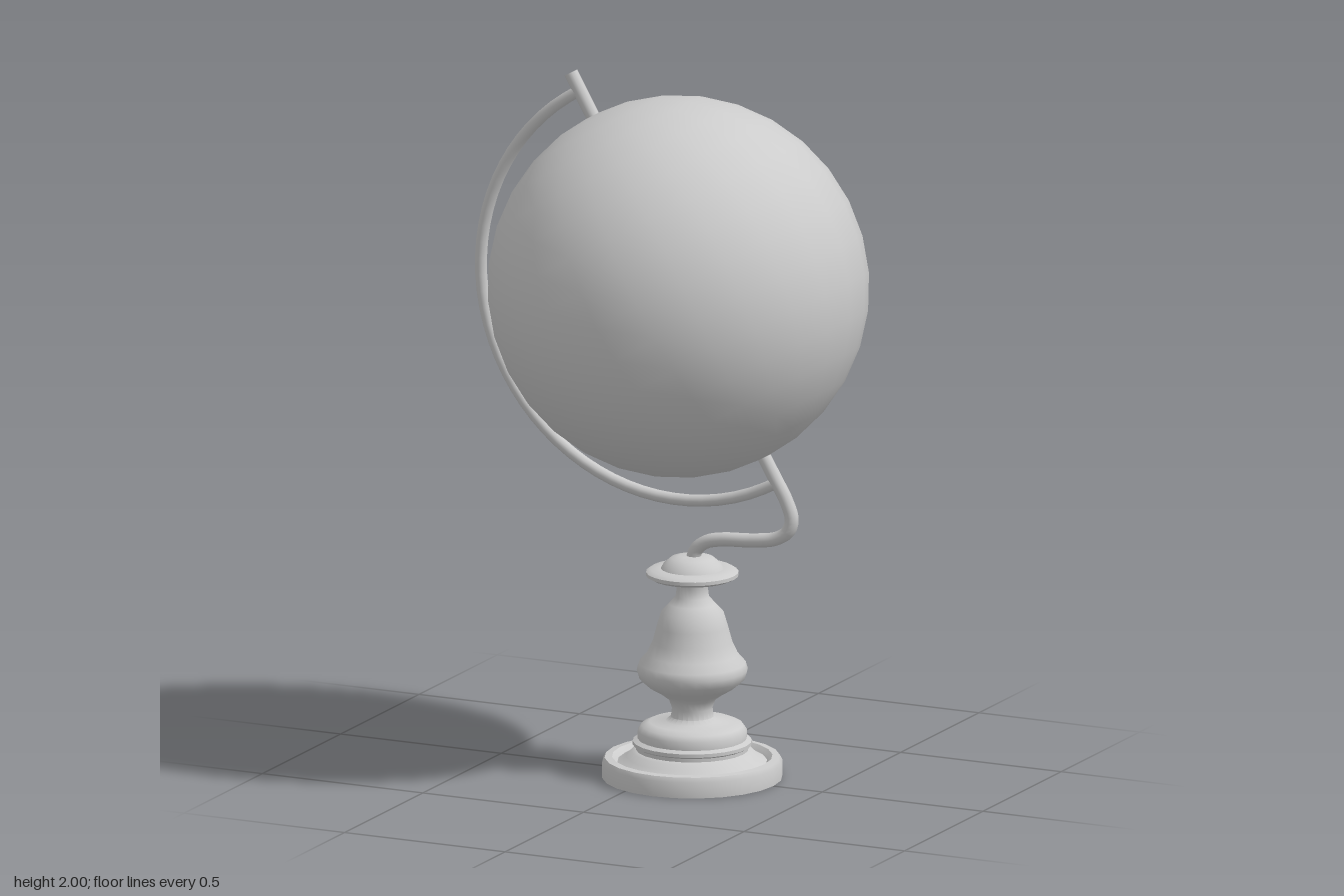
import * as THREE from 'three';
import { toCreasedNormals } from 'three/addons/utils/BufferGeometryUtils.js';

const CENTER = new THREE.Vector3(0.052, 1.41, 0); // globe centre
const TILT = Math.PI / 6; // lean of the globe axis
const STAND_X = 0.095;

const grey = new THREE.MeshStandardMaterial({ color: 0xcccccc });
const greyOpen = new THREE.MeshStandardMaterial({ color: 0xcccccc, side: THREE.DoubleSide });

function add(group, name, geometry, material = grey) {
  const mesh = new THREE.Mesh(geometry, material);
  mesh.name = name;
  group.add(mesh);
  return mesh;
}

// Point in the plane of the meridian arc, at a distance along an angle from the globe centre
function polar(radius, angle) {
  return new THREE.Vector3(CENTER.x + radius * Math.cos(angle), CENTER.y + radius * Math.sin(angle), 0);
}

// Rod along a path, closed with a flat disc at each end
function addRod(group, name, curve, segments, radius) {
  const rod = new THREE.Group();
  rod.name = name;
  add(rod, name + 'Tube', new THREE.TubeGeometry(curve, segments, radius, 10, false));
  for (const t of [0, 1]) {
    const cap = add(rod, name + 'End', new THREE.CircleGeometry(radius, 10));
    cap.position.copy(curve.getPoint(t));
    const out = curve.getTangent(t).multiplyScalar(t ? 1 : -1);
    cap.quaternion.setFromUnitVectors(new THREE.Vector3(0, 0, 1), out);
  }
  group.add(rod);
}

export function createModel() {
  const model = new THREE.Group();
  model.name = 'globeOnStand';

  // Turned stand, hollow underneath: radius and height from foot to top
  const profile = [
    [0.253, 0], [0.253, 0.045], [0.246, 0.058], [0.225, 0.06], [0.216, 0.052],
    [0.21, 0.045], [0.185, 0.06], [0.17, 0.075], [0.158, 0.08], [0.158, 0.09],
    [0.167, 0.095], [0.167, 0.105], [0.153, 0.112], [0.153, 0.135], [0.143, 0.15],
    [0.12, 0.16], [0.075, 0.163], [0.06, 0.175], [0.057, 0.2], [0.066, 0.225],
    [0.09, 0.243], [0.122, 0.262], [0.148, 0.285], [0.156, 0.31], [0.15, 0.33],
    [0.128, 0.355], [0.112, 0.39], [0.1, 0.435], [0.088, 0.475], [0.065, 0.5],
    [0.047, 0.52], [0.042, 0.56], [0.05, 0.572], [0.115, 0.574], [0.13, 0.582],
    [0.13, 0.592], [0.118, 0.6], [0.088, 0.602], [0.08, 0.615], [0.06, 0.632],
    [0.035, 0.638], [0, 0.638],
  ].map(([r, y]) => new THREE.Vector2(r, y));
  const stand = add(model, 'turnedStand',
    toCreasedNormals(new THREE.LatheGeometry(profile, 24), 0.8), greyOpen);
  stand.position.x = STAND_X;

  // Globe, its poles on the tilted axis
  const globe = add(model, 'globe', new THREE.SphereGeometry(0.537, 24, 16));
  globe.position.copy(CENTER);
  globe.rotation.z = TILT;
  globe.scale.z = 0.979;

  // Meridian arc around the left-hand side of the picture plane, pole to pole
  const north = Math.PI / 2 + TILT;
  const arcPoints = [];
  for (let i = 0; i <= 24; i++) arcPoints.push(polar(0.615, north + (Math.PI * i) / 24));
  addRod(model, 'meridianArc', new THREE.CatmullRomCurve3(arcPoints), 40, 0.017);

  // Short pin through the upper pole
  addRod(model, 'upperPin', new THREE.LineCurve3(polar(0.51, north), polar(0.67, north)), 1, 0.02);

  // Lower pin that bends back in an S to the top of the stand
  const south = north + Math.PI;
  const neck = new THREE.CatmullRomCurve3([
    polar(0.51, south), polar(0.6, south), polar(0.67, south),
    ...[[0.405, 0.775], [0.393, 0.74], [0.355, 0.715], [0.28, 0.702], [0.19, 0.695],
      [0.14, 0.683], [0.108, 0.658], [0.095, 0.62]].map(([x, y]) => new THREE.Vector3(x, y, 0)),
  ]);
  addRod(model, 'lowerNeck', neck, 40, 0.02);

  return model;
}
